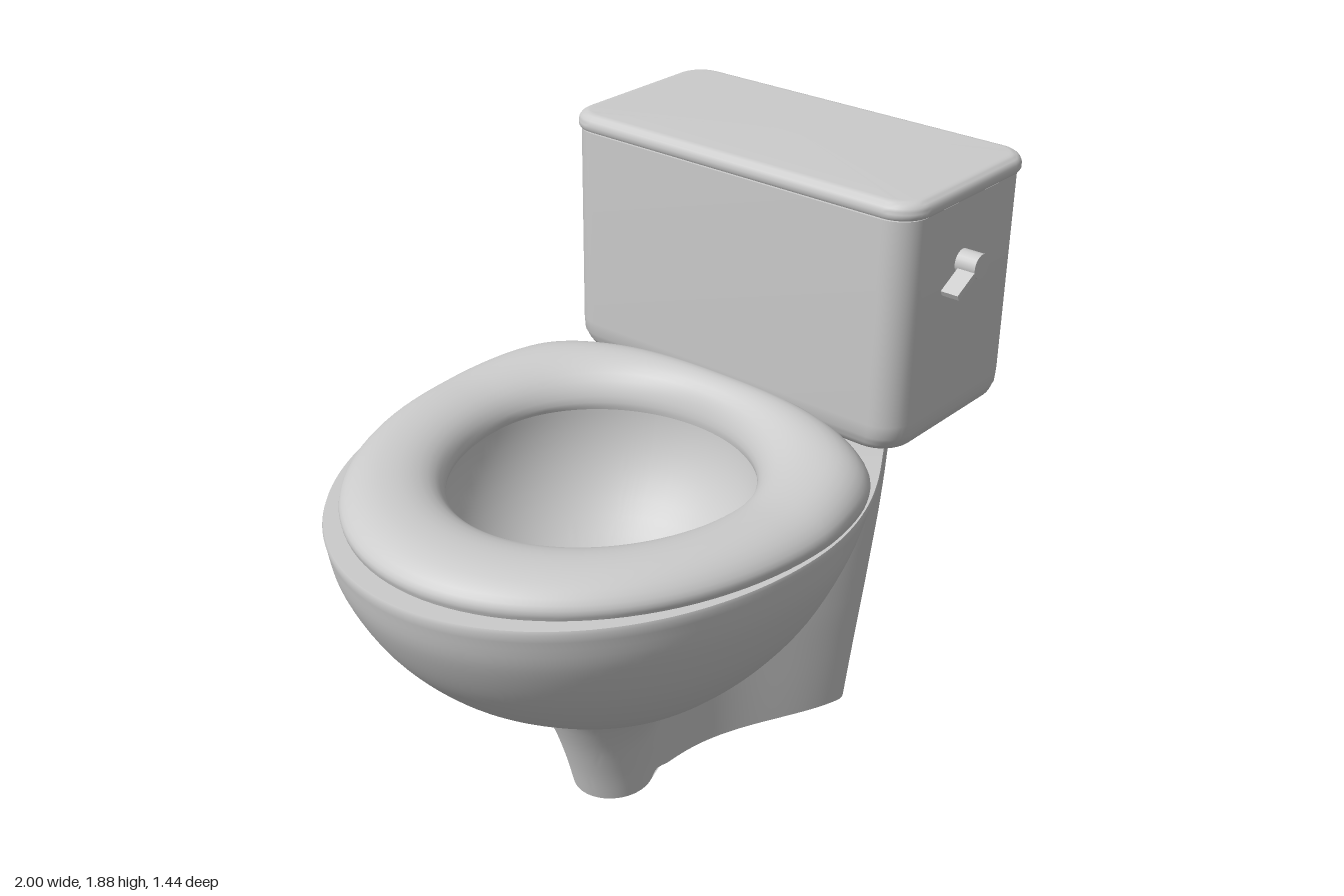
import * as THREE from 'three';
import { toCreasedNormals } from 'three/addons/utils/BufferGeometryUtils.js';

const material = new THREE.MeshStandardMaterial({ color: 0xcccccc, roughness: 0.5 });
const { smoothstep, lerp } = THREE.MathUtils;

// Skin a stack of closed loops (counter-clockwise from above), with optional fan caps.
function loft(loops, capped, crease = 0.9) {
  const n = loops[0].length, pos = [];
  const tri = (...pts) => pts.forEach(p => pos.push(p.x, p.y, p.z));
  for (let i = 0; i < loops.length - 1; i++) {
    for (let j = 0; j < n; j++) {
      const k = (j + 1) % n;
      const a = loops[i][j], b = loops[i][k], c = loops[i + 1][k], d = loops[i + 1][j];
      tri(a, b, c);
      tri(a, c, d);
    }
  }
  const cap = (loop, flip) => {
    const mid = loop.reduce((s, p) => s.add(p), new THREE.Vector3()).divideScalar(n);
    loop.forEach((p, j) => {
      const q = loop[(j + 1) % n];
      flip ? tri(mid, q, p) : tri(mid, p, q);
    });
  };
  if (capped) {
    cap(loops[0], true);
    cap(loops[loops.length - 1], false);
  }
  const geometry = new THREE.BufferGeometry();
  geometry.setAttribute('position', new THREE.Float32BufferAttribute(pos, 3));
  return toCreasedNormals(geometry, crease);
}

// Smoothly interpolate extra rows between the key rows of a table.
function resample(rows, steps) {
  const spline = new THREE.CubicInterpolant(
    new Float32Array(rows.map((_, i) => i)), new Float32Array(rows.flat()), rows[0].length);
  const out = [];
  const count = (rows.length - 1) * steps;
  for (let i = 0; i <= count; i++) out.push(Array.from(spline.evaluate(i / steps)));
  return out;
}

function addMesh(parent, name, geometry) {
  const mesh = new THREE.Mesh(geometry, material);
  mesh.name = name;
  parent.add(mesh);
  return mesh;
}

// Horizontal outline of bowl and pedestal: an egg blended with a slab that flares to the back.
function bodyLoop([y, front, mid, eggBack, eggWidth, back, slabWidth]) {
  const side = [], n = 72, r = 0.07;
  const halfWidth = x => {
    const e = x < mid ? (x - mid) / (mid - front) : (x - mid) / (eggBack - mid);
    const dome = Math.max(0, 1 - e * e);
    // round nose, softly tapering tail
    const egg = eggWidth * (x < mid ? Math.sqrt(dome) : dome);
    const flare = smoothstep(x, 0.0, 0.74) ** 1.4;
    const slab = slabWidth * (0.3 * smoothstep(x, -0.14, 0.04) + 0.7 * flare);
    let w = Math.pow(egg ** 5 + slab ** 5, 1 / 5);
    const c = x - (back - r);
    if (c > 0) w -= r - Math.sqrt(Math.max(0, r * r - c * c));
    return w;
  };
  for (let i = 0; i <= n; i++) {
    const x = front + (back - front) * (1 - Math.cos(Math.PI * i / n)) / 2;
    side.push(new THREE.Vector3(x, y, i === 0 ? 0 : halfWidth(x)));
  }
  const w = side[n].z;
  for (let i = 1; i <= 5; i++) side.push(new THREE.Vector3(back, y, w * (1 - i / 5)));
  const mirrored = side.slice(1, -1).reverse().map(p => new THREE.Vector3(p.x, y, -p.z));
  return [...side, ...mirrored];
}

function bodyGeometry() {
  // height, front x, widest x, egg back x, egg half width, back x, slab half width
  const keys = [
    [0.00, -0.25, -0.12, 0.06, 0.12, 0.72, 0.315],
    [0.12, -0.285, -0.13, 0.07, 0.13, 0.722, 0.327],
    [0.25, -0.33, -0.15, 0.09, 0.15, 0.725, 0.34],
    [0.37, -0.385, -0.17, 0.16, 0.20, 0.727, 0.353],
    [0.44, -0.45, -0.18, 0.26, 0.29, 0.729, 0.36],
    [0.48, -0.53, -0.17, 0.34, 0.365, 0.73, 0.364],
    [0.54, -0.635, -0.15, 0.43, 0.445, 0.731, 0.37],
    [0.64, -0.765, -0.13, 0.54, 0.54, 0.733, 0.38],
    [0.78, -0.885, -0.11, 0.67, 0.635, 0.735, 0.393],
    [0.94, -0.97, -0.10, 0.84, 0.70, 0.735, 0.403],
    [1.07, -1.00, -0.10, 0.99, 0.72, 0.71, 0.41],
  ];
  const loops = resample(keys, 5).map(bodyLoop);
  // the rim dips slightly towards the back
  loops.forEach(loop => loop.forEach(p => { p.y -= 0.015 * smoothstep(p.x, 0.4, 0.72) * p.y; }));
  const rim = loops[loops.length - 1];
  loops.push(rim.map(p => new THREE.Vector3(p.x * 0.996, p.y + 0.01, p.z * 0.996)));
  // rim runs inward, then the basin curves down
  for (let i = 0; i <= 14; i++) {
    const k = i / 14 * Math.PI * 0.49, s = Math.cos(k);
    loops.push(rim.map(p => {
      const a = Math.atan2(p.z / 0.48, (p.x + 0.16) / 0.5);
      return new THREE.Vector3(-0.16 + 0.5 * s * Math.cos(a), 1.08 - 0.48 * Math.sin(k), 0.48 * s * Math.sin(a));
    }));
  }
  return loft(loops, true);
}

function seatGeometry() {
  // across the ring: 0 = outer edge, 1 = opening; then relative height
  const profile = resample([
    [0.015, 0], [0.0, 0.22], [0.03, 0.46], [0.13, 0.74], [0.29, 0.94], [0.48, 1],
    [0.67, 0.94], [0.84, 0.74], [0.95, 0.43], [1, 0.1], [0.99, -0.1],
  ], 2);
  const n = 112;
  const loops = profile.map(([f, h]) => Array.from({ length: n }, (_, j) => {
    const t = j / n * Math.PI * 2, c = Math.cos(t), s = -Math.sin(t);
    const e = 2 / (2 + 0.8 * smoothstep(c, -0.1, 0.6)); // squarer towards the back
    const outX = -0.06 + (c < 0 ? 0.88 : 0.5) * Math.sign(c) * Math.abs(c) ** e;
    const outZ = 0.71 * Math.sign(s) * Math.abs(s) ** e;
    const x = lerp(outX, -0.12 + (c < 0 ? 0.5 : 0.39) * c, f);
    const z = lerp(outZ, 0.43 * s, f);
    const height = 0.09 + 0.035 * smoothstep(x, -0.15, 0.3);
    return new THREE.Vector3(x, 1.08 + height * h, z);
  }));
  return loft(loops, false, 1);
}

// Rounded rectangle from x0 to x1 with half width w and corner radius r.
function roundedLoop([y, x0, x1, w, r]) {
  const pts = [], m = 8;
  const corners = [[x1 - r, -w + r], [x0 + r, -w + r], [x0 + r, w - r], [x1 - r, w - r]];
  corners.forEach(([cx, cz], q) => {
    for (let i = 0; i <= m; i++) {
      const t = (q + i / m) * Math.PI / 2;
      pts.push(new THREE.Vector3(cx + r * Math.cos(t), y, cz - r * Math.sin(t)));
    }
  });
  return pts;
}

export function createModel() {
  const group = new THREE.Group();
  group.name = 'toilet';

  addMesh(group, 'bowlAndPedestal', bodyGeometry());
  addMesh(group, 'seat', seatGeometry());

  // tank with a neck that narrows down onto the pedestal
  const tank = resample([
    [0.88, 0.50, 0.74, 0.21, 0.05],
    [0.91, 0.50, 0.84, 0.25, 0.06],
    [0.98, 0.50, 0.925, 0.28, 0.07],
    [1.05, 0.51, 0.965, 0.315, 0.08],
    [1.085, 0.53, 0.975, 0.38, 0.085],
    [1.105, 0.48, 0.98, 0.48, 0.09],
    [1.125, 0.41, 0.985, 0.58, 0.09],
    [1.17, 0.387, 0.99, 0.608, 0.09],
  ], 4).map(roundedLoop);
  tank.push(roundedLoop([1.21, 0.385, 0.992, 0.61, 0.09]));
  tank.push(roundedLoop([1.828, 0.385, 0.992, 0.61, 0.09]));
  addMesh(group, 'tank', loft(tank, true));

  // lid with a softened top edge
  const lid = [[1.832, 0.385, 0.995, 0.615, 0.09], [1.84, 0.38, 1.0, 0.62, 0.095], [1.85, 0.38, 1.0, 0.62, 0.095]];
  for (let i = 1; i <= 6; i++) {
    const a = i / 6 * Math.PI / 2, d = 0.035 * (1 - Math.cos(a));
    lid.push([1.85 + 0.03 * Math.sin(a), 0.38 + d, 1 - d, 0.62 - d, 0.095 - d]);
  }
  lid.push([1.88, 0.42, 0.96, 0.58, 0.055]);
  addMesh(group, 'tankLid', loft(lid.map(roundedLoop), true));

  // flush handle: round hub and slanted lever
  const handle = new THREE.Group();
  handle.name = 'flushHandle';
  handle.position.set(0.668, 1.645, 0.61);
  const hub = addMesh(handle, 'handleHub', new THREE.CylinderGeometry(0.036, 0.036, 0.07, 24));
  hub.rotation.x = Math.PI / 2;
  hub.position.z = 0.03;
  const lever = addMesh(handle, 'handleLever', new THREE.BoxGeometry(0.1, 0.018, 0.055));
  lever.position.set(-0.065, -0.036, 0.037);
  lever.rotation.z = 0.5;
  group.add(handle);

  return group;
}
